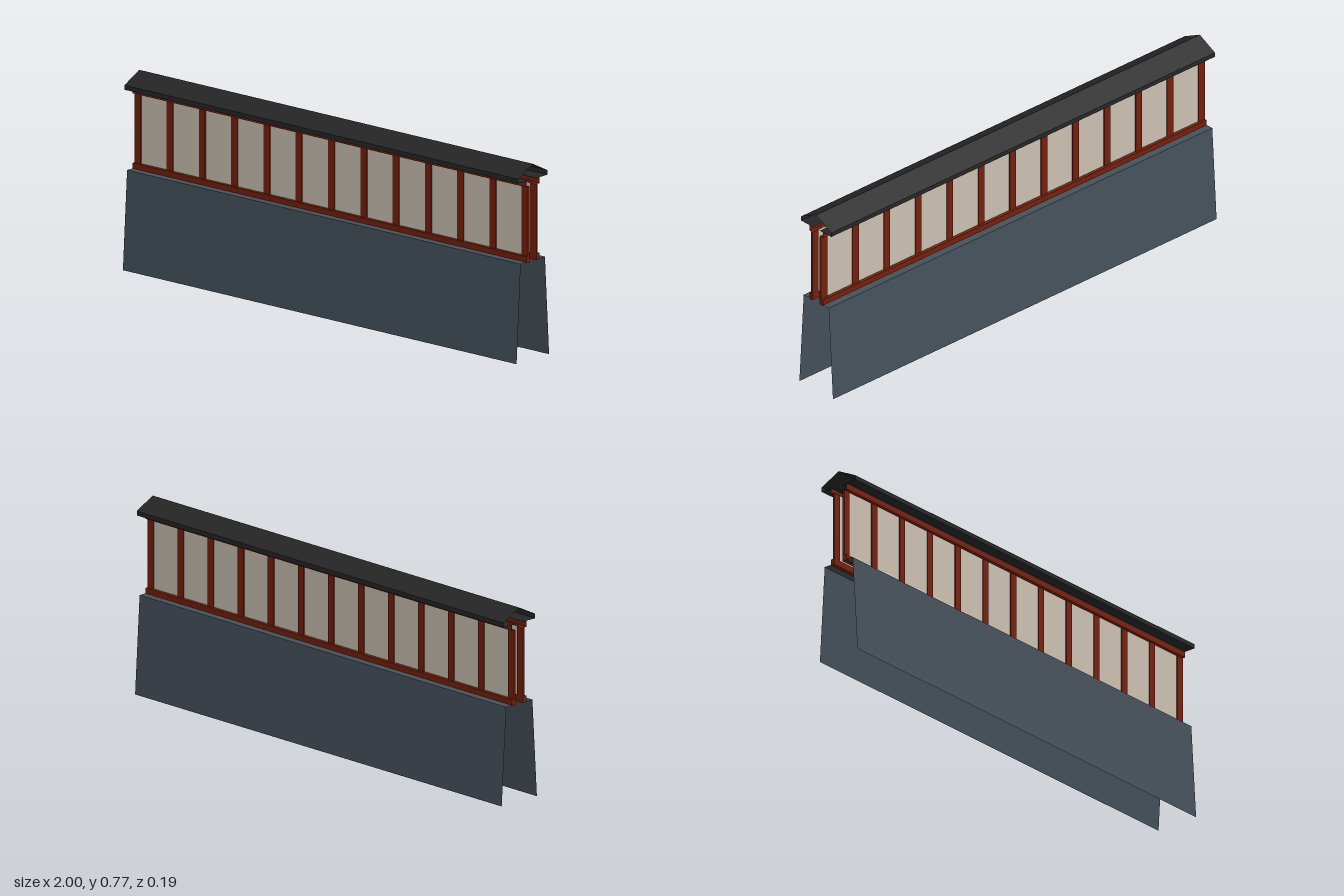
import * as THREE from 'three';

const mat = (name, color) => {
  const m = new THREE.MeshStandardMaterial({ color, side: THREE.DoubleSide });
  m.name = name;
  return m;
};

export function createModel() {
  const slate = mat('slate plaster', 0x45505a);
  const timber = mat('red timber', 0x74200e);
  const paper = mat('cream pane', 0xcbc0b1);
  const tile = mat('dark roof', 0x262626);

  const model = new THREE.Group();
  model.name = 'coveredWall';

  // Open-ended sheet: a [z, y] profile swept along the full length
  function sheet(parent, name, profile, material) {
    const pos = [];
    for (let i = 0; i < profile.length - 1; i++) {
      const [za, ya] = profile[i], [zb, yb] = profile[i + 1];
      pos.push(-1, ya, za, 1, ya, za, 1, yb, zb, -1, ya, za, 1, yb, zb, -1, yb, zb);
    }
    const geo = new THREE.BufferGeometry();
    geo.setAttribute('position', new THREE.Float32BufferAttribute(pos, 3));
    geo.computeVertexNormals();
    const mesh = new THREE.Mesh(geo, material);
    mesh.name = name;
    parent.add(mesh);
  }

  function box(parent, name, w, h, d, x, y, z, material) {
    const mesh = new THREE.Mesh(new THREE.BoxGeometry(w, h, d), material);
    mesh.position.set(x, y, z);
    mesh.name = name;
    parent.add(mesh);
  }

  // One face of the wall, looking along +z
  function wallSide(name) {
    const side = new THREE.Group();
    side.name = name;

    // Battered lower wall with a flat ledge
    sheet(side, 'lowerWall', [[0.094, 0], [0.07, 0.392], [0.02, 0.392]], slate);

    // Sill, posts and top rail
    box(side, 'sill', 2, 0.025, 0.018, 0, 0.4015, 0.029, timber);
    for (let i = 0; i <= 12; i++) {
      box(side, 'post', 0.032, 0.3, 0.008, -0.984 + i * 0.164, 0.539, 0.024, timber);
    }
    sheet(side, 'topRail', [[0.02, 0.69], [0.038, 0.69], [0.038, 0.714]], timber);

    // Panes between the posts
    for (let i = 0; i < 12; i++) {
      const pane = new THREE.Mesh(new THREE.PlaneGeometry(0.132, 0.28), paper);
      pane.position.set(-0.902 + i * 0.164, 0.552, 0.024);
      pane.name = 'pane';
      side.add(pane);
    }

    // Roof slope, fascia and soffit
    sheet(side, 'roof', [[0.02, 0.714], [0.085, 0.714], [0.085, 0.732], [0, 0.775]], tile);
    return side;
  }

  const back = wallSide('backSide');
  back.rotation.y = Math.PI;
  model.add(wallSide('frontSide'), back);
  return model;
}
